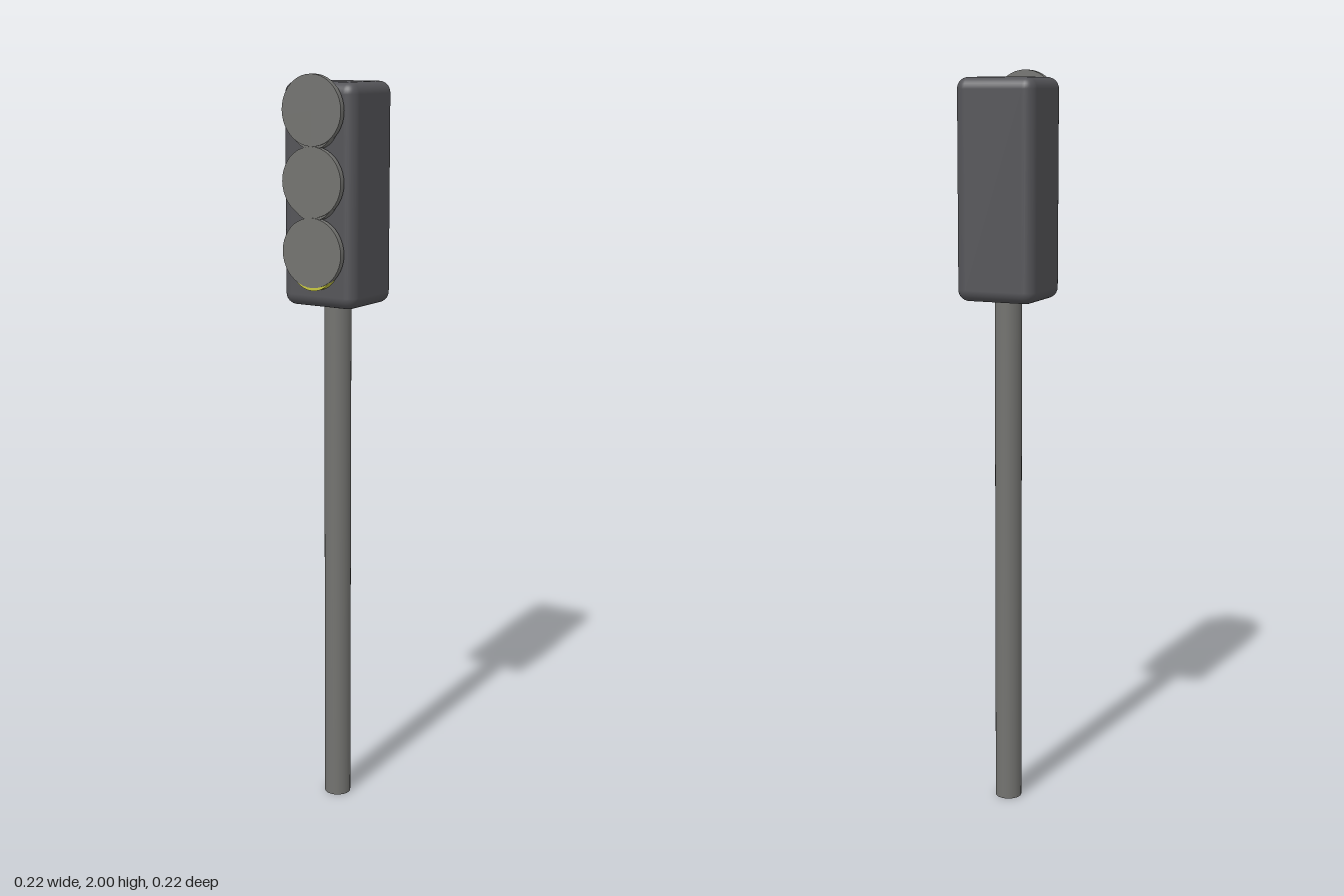
import * as THREE from 'three';
import { RoundedBoxGeometry } from 'three/addons/geometries/RoundedBoxGeometry.js';

export function createModel() {
  const model = new THREE.Group();
  model.name = 'trafficLight';

  const material = (name, color) => {
    const m = new THREE.MeshStandardMaterial({ color });
    m.name = name;
    return m;
  };
  const housingGrey = material('housingGrey', 0x545458);
  const metalGrey = material('metalGrey', 0x737370);
  const lampYellow = material('lampYellow', 0xc8c840);

  const add = (name, geometry, mat, x, y, z) => {
    const mesh = new THREE.Mesh(geometry, mat);
    mesh.name = name;
    mesh.position.set(x, y, z);
    model.add(mesh);
    return mesh;
  };

  // Post and rounded signal box share one axis, slightly behind the centre
  const axisZ = -0.013;
  add('pole', new THREE.CylinderGeometry(0.036, 0.036, 1.42, 32), metalGrey, 0, 0.71, axisZ);
  add('housing', new RoundedBoxGeometry(0.22, 0.575, 0.2, 4, 0.03), housingGrey, 0, 1.6925, axisZ);

  // Discs facing forward, from zBack to zFront
  const disc = (radius, zBack, zFront) =>
    new THREE.CylinderGeometry(radius, radius, zFront - zBack, 40)
      .rotateX(Math.PI / 2)
      .translate(0, 0, (zBack + zFront) / 2);
  const lens = disc(0.068, 0.08, 0.108);
  const cover = disc(0.09, 0.095, 0.111);

  // Three lamps, each with a larger cover set a little higher; the lowest is lit
  ['top', 'middle', 'bottom'].forEach((place, i) => {
    const y = 1.91 - i * 0.18;
    add(place + 'Lens', lens, i === 2 ? lampYellow : metalGrey, 0, y - 0.03, 0);
    add(place + 'Cover', cover, metalGrey, 0, y, 0);
  });

  return model;
}
